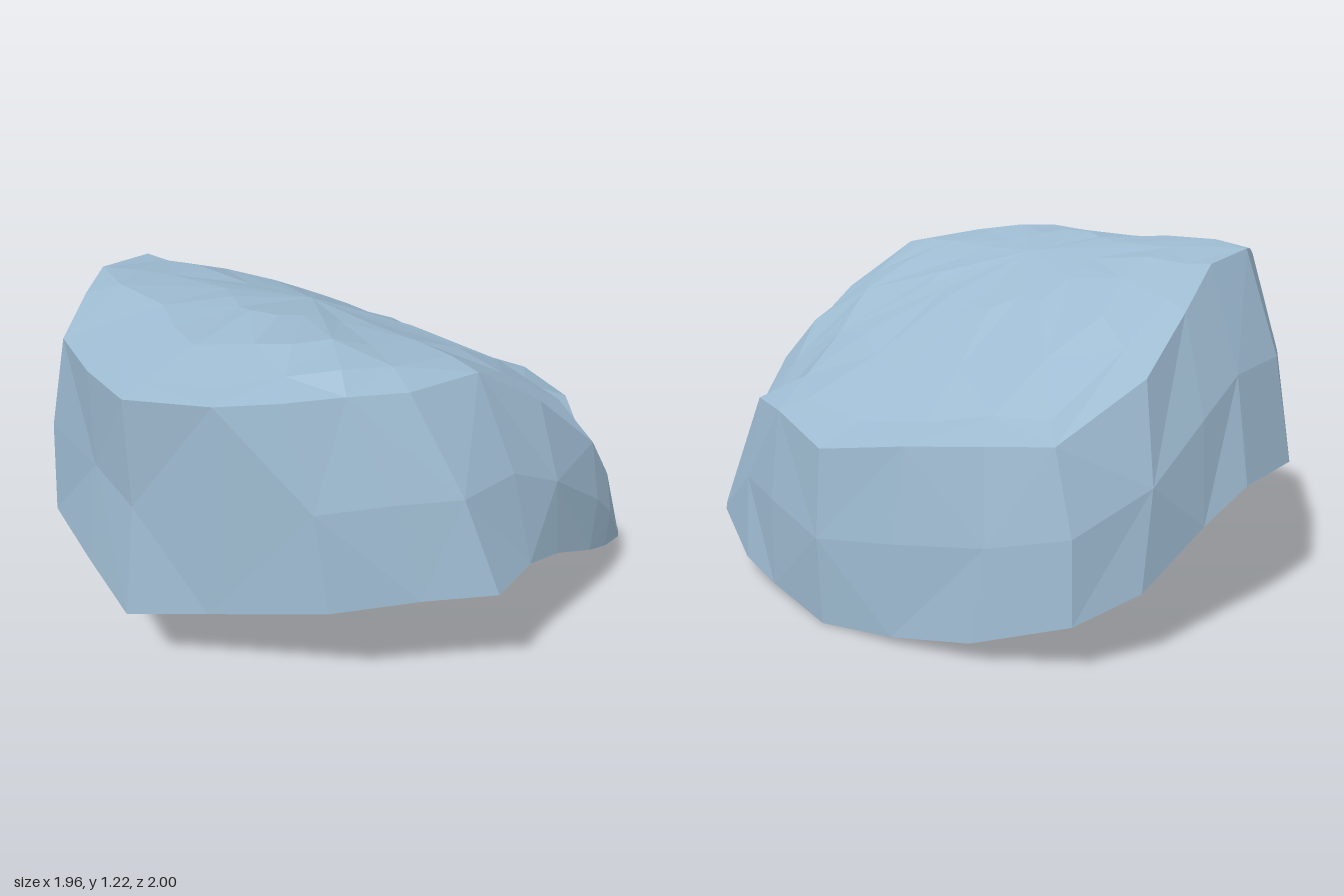
import * as THREE from 'three';

// piecewise linear curve through [x, y] points
function curve(points, x) {
  if (x <= points[0][0]) return points[0][1];
  for (let i = 1; i < points.length; i++) {
    const [x0, y0] = points[i - 1], [x1, y1] = points[i];
    if (x <= x1) return y0 + (y1 - y0) * (x - x0) / (x1 - x0);
  }
  return points[points.length - 1][1];
}

// height of the arched lower rim and of the sloping crown, along x
const RIM = [[-0.97, 0.29], [-0.68, 0.43], [-0.48, 0.47], [-0.3, 0.48], [-0.12, 0.5],
  [0.1, 0.43], [0.33, 0.31], [0.5, 0.23], [0.72, 0.16], [0.8, 0.1], [0.97, 0]];
const CROWN = [[-0.93, 1.1], [-0.78, 1.17], [-0.45, 1.24], [-0.1, 1.18], [0.14, 1.09],
  [0.35, 0.97], [0.63, 0.78], [0.78, 0.72], [0.96, 0.6]];

// each section: rim x, rim z, then shoulder x, y, z
const SECTIONS = [
  [-0.97, -0.05, -0.935, 1.1, -0.03],
  [-0.85, 0.22, -0.82, 1.12, 0.25],
  [-0.68, 0.6, -0.7, 1.14, 0.42],
  [-0.48, 0.82, -0.55, 1.15, 0.56],
  [-0.3, 1, -0.4, 1.15, 0.69],
  [-0.1, 0.99, -0.13, 1.14, 0.76],
  [0.1, 0.98, 0.12, 0.97, 0.85],
  [0.4, 0.95, 0.41, 0.71, 0.91],
  [0.55, 0.935, 0.55, 0.52, 0.91],
  [0.73, 0.9, 0.725, 0.2, 0.89],
  [0.86, 0.58, 0.77, 0.65, 0.59],
  [0.91, 0.35, 0.87, 0.66, 0.34],
  [0.97, 0, 0.96, 0.6, 0],
  [0.93, -0.3, 0.88, 0.65, -0.32],
  [0.86, -0.59, 0.79, 0.68, -0.59],
  [0.72, -0.89, 0.7, 0.7, -0.8],
  [0.5, -0.98, 0.37, 0.87, -0.88],
  [0.2, -0.99, 0.1, 1.04, -0.82],
  [-0.02, -1, -0.13, 1.17, -0.75],
  [-0.35, -0.95, -0.38, 1.2, -0.72],
  [-0.62, -0.77, -0.55, 1.18, -0.62],
  [-0.77, -0.63, -0.79, 1.13, -0.47],
  [-0.87, -0.35, -0.88, 1.11, -0.25],
];

function grid(rows, closeAt) {
  const n = rows[0].length, pos = [], index = [];
  rows.forEach(row => row.forEach(p => pos.push(...p)));
  for (let r = 0; r < rows.length - 1; r++) {
    for (let i = 0; i < n; i++) {
      const a = r * n + i, b = r * n + (i + 1) % n, c = b + n, d = a + n;
      if ((i + r) % 2) index.push(a, b, c, a, c, d);
      else index.push(a, b, d, b, c, d);
    }
  }
  // fan closing the last row
  if (closeAt) {
    const tip = pos.length / 3, s = (rows.length - 1) * n;
    pos.push(...closeAt);
    for (let i = 0; i < n; i++) index.push(s + i, s + (i + 1) % n, tip);
  }
  const geometry = new THREE.BufferGeometry();
  geometry.setAttribute('position', new THREE.Float32BufferAttribute(pos, 3));
  geometry.setIndex(index);
  const flat = geometry.toNonIndexed();
  flat.computeVertexNormals();
  return flat;
}

export function createModel() {
  const stone = new THREE.MeshStandardMaterial({
    color: 0x9dbad0, flatShading: true, side: THREE.DoubleSide,
  });
  stone.name = 'blue grey stone';

  let seed = 7;
  const jitter = size => {
    seed = (seed * 16807) % 2147483647;
    return (seed / 2147483647 - 0.5) * size;
  };

  const rim = SECTIONS.map(([x, z]) => [x, curve(RIM, x), z]);
  const shoulder = SECTIONS.map(([, , x, y, z]) => [x, y, z]);

  // middle of the wall, bulging at front and back, pinched on the tall side
  const middle = rim.map((a, i) => {
    const b = shoulder[i], z = (a[2] + b[2]) / 2;
    const bulge = Math.min(0.035, (b[1] - a[1]) * 0.06);
    const x = (a[0] + b[0]) / 2;
    return [x + (x < -0.85 ? 0.035 : x > 0.85 ? 0.02 : 0), (a[1] + b[1]) / 2,
      z + (Math.abs(z) > 0.5 ? Math.sign(z) * bulge : 0)];
  });

  // rings of the crown, shrinking to its centre
  const centre = [-0.05, 1.165, 0];
  const ring = (t, blend) => shoulder.map(p => {
    const k = t + jitter(0.07);
    const x = p[0] + (centre[0] - p[0]) * k, z = p[2] + (centre[2] - p[2]) * k;
    return [x, p[1] + (curve(CROWN, x) - p[1]) * blend + jitter(0.02) - 0.01, z];
  });

  const wall = new THREE.Mesh(grid([rim, middle, shoulder]), stone);
  wall.name = 'rockWall';
  const crown = new THREE.Mesh(
    grid([shoulder, ring(0.14, 0.62), ring(0.36, 0.93), ring(0.66, 1)], centre), stone);
  crown.name = 'rockCrown';

  const group = new THREE.Group();
  group.name = 'rockShell';
  group.add(wall, crown);
  return group;
}
